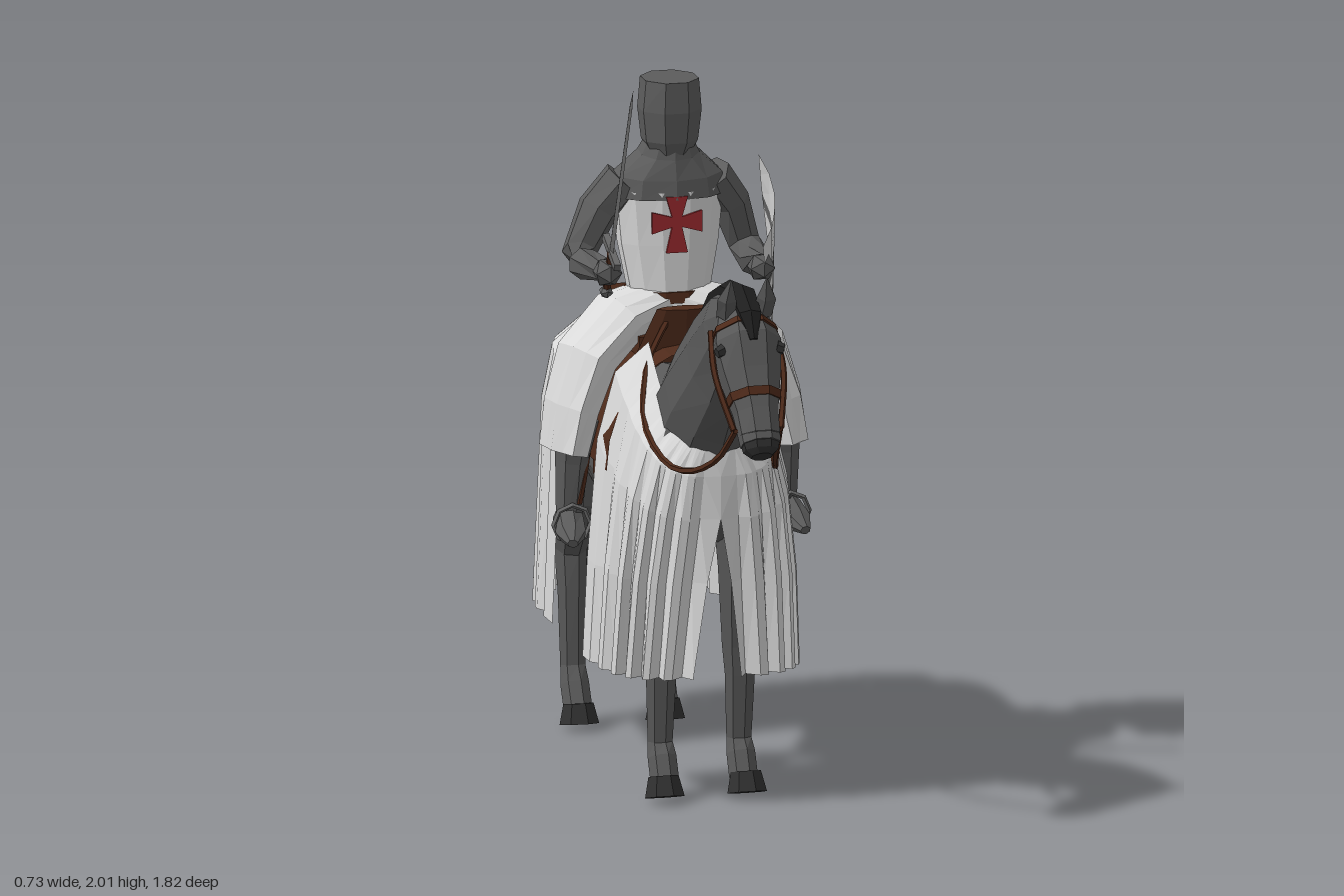
import * as THREE from 'three';

const mat = (name, color, side = THREE.FrontSide) => {
  const m = new THREE.MeshStandardMaterial({ color, side, flatShading: true });
  m.name = name;
  return m;
};

export function createModel() {
  const root = new THREE.Group();
  root.name = 'mountedKnight';
  const M = {
    coat: mat('horseCoat', 0x585858),
    cloth: mat('whiteCloth', 0xdadada, THREE.DoubleSide),
    hair: mat('blackHair', 0x1e1e1e),
    leather: mat('leather', 0x4e2a1a, THREE.DoubleSide),
    mail: mat('mail', 0x5c5c5c),
    steel: mat('steel', 0x666666, THREE.DoubleSide),
    hoof: mat('hoof', 0x303030),
    red: mat('redCross', 0x9a2a2e),
  };
  const add = (name, geo, m, pos = [0, 0, 0], rot = [0, 0, 0]) => {
    const mesh = new THREE.Mesh(geo, m);
    mesh.name = name;
    mesh.position.set(...pos);
    mesh.rotation.set(...rot);
    root.add(mesh);
    return mesh;
  };
  const build = (pos, idx) => {
    const g = new THREE.BufferGeometry();
    g.setAttribute('position', new THREE.Float32BufferAttribute(pos, 3));
    g.setIndex(idx);
    g.computeVertexNormals();
    return g;
  };

  // Elliptical rings along a path; section = [x, y, z, radius along ref, other radius]
  const X = new THREE.Vector3(1, 0, 0), Z = new THREE.Vector3(0, 0, 1);
  const loft = (name, secs, m, n = 8, ref = X, ripple = 0) => {
    const c = secs.map(s => new THREE.Vector3(s[0], s[1], s[2]));
    const pos = [], idx = [], last = secs.length - 1;
    secs.forEach((s, i) => {
      const t = c[Math.min(i + 1, last)].clone().sub(c[Math.max(i - 1, 0)]).normalize();
      const u = ref.clone().addScaledVector(t, -ref.dot(t)).normalize();
      const v = t.clone().cross(u);
      for (let j = 0; j < n; j++) {
        const q = (j + 0.5) / n * Math.PI * 2, k = 1 + (j % 2 ? -1 : 1) * ripple * i / last;
        const p = c[i].clone().addScaledVector(u, s[3] * Math.cos(q) * k).addScaledVector(v, s[4] * Math.sin(q) * k);
        pos.push(p.x, p.y, p.z);
        if (i < last) {
          const a = i * n + j, b = i * n + (j + 1) % n;
          idx.push(a, b, b + n, a, b + n, a + n);
        }
      }
    });
    for (let j = 1; j < n - 1; j++) idx.push(0, j + 1, j, last * n, last * n + j, last * n + j + 1);
    return add(name, build(pos, idx), m);
  };
  // Same path on either side of the model
  const pair = (name, secs, m, n, ref, ripple) => [1, -1].forEach(s =>
    loft((s > 0 ? 'left' : 'right') + name, secs.map(([x, ...r]) => [s * x, ...r]), m, n, ref, ripple));

  // Horse body, neck and head
  loft('horseBody', [[0, .95, -.75, .08, .1], [0, .95, -.68, .17, .19], [0, .93, -.5, .21, .235], [0, .9, -.2, .222, .265],
    [0, .89, 0, .215, .26], [0, .93, .2, .2, .25], [0, .95, .35, .15, .19], [0, .95, .41, .08, .11]], M.coat, 12);
  loft('horseNeck', [[0, 1, .22, .15, .18], [0, 1.13, .34, .13, .17], [0, 1.25, .46, .1, .16],
    [0, 1.35, .58, .085, .13], [0, 1.39, .66, .07, .1]], M.coat, 10);
  const head = [[0, 1.41, .64, .07, .09], [0, 1.34, .7, .098, .112], [0, 1.27, .755, .085, .083],
    [0, 1.18, .815, .062, .066], [0, 1.105, .865, .056, .055]];
  loft('horseHead', head, M.coat, 8);
  loft('muzzle', [[0, 1.13, .85, .058, .058], [0, 1.09, .87, .05, .045], [0, 1.075, .88, .03, .03]], M.hoof, 8);
  pair('Ear', [[.05, 1.43, .69, .028, .025], [.055, 1.48, .72, .028, .022], [.05, 1.535, .74, .003, .003]], M.coat, 5);
  pair('Eye', [[.075, 1.345, .75, .018, .02], [.094, 1.34, .755, .014, .014]], M.hoof, 6, Z);
  loft('mane', [[0, 1.23, .17, .015, .015], [0, 1.32, .29, .026, .03], [0, 1.41, .41, .03, .03], [0, 1.46, .54, .035, .03],
    [0, 1.475, .66, .04, .03], [0, 1.44, .75, .035, .02], [0, 1.38, .79, .012, .01]], M.hair, 6);
  loft('tail', [[0, 1.1, -.71, .045, .03], [0, 1.08, -.79, .06, .04], [0, .93, -.845, .062, .05], [0, .62, -.865, .06, .055],
    [0, .4, -.87, .06, .05], [0, .3, -.87, .045, .04]], M.hair, 8);

  // Legs and hooves
  pair('ForeLeg', [[.11, .9, .23, .09, .11], [.11, .62, .23, .065, .065], [.11, .4, .215, .05, .045], [.11, .32, .215, .042, .038],
    [.11, .14, .205, .035, .03], [.11, .1, .225, .04, .04], [.11, .04, .255, .04, .04]], M.coat, 7);
  pair('HindLeg', [[.12, .95, -.58, .09, .15], [.12, .65, -.64, .07, .1], [.12, .47, -.73, .045, .06], [.12, .36, -.71, .04, .042],
    [.12, .15, -.7, .035, .03], [.12, .1, -.68, .04, .04], [.12, .04, -.645, .04, .04]], M.coat, 7);
  pair('ForeHoof', [[.115, .055, .26, .042, .042], [.115, 0, .275, .055, .055]], M.hoof, 7);
  pair('HindHoof', [[.12, .055, -.64, .042, .042], [.12, 0, -.63, .055, .055]], M.hoof, 7);

  // Horse cloth, one half at a time; row = [y at side, y at end, half width, z at side, z at end, slit angle, fold depth]
  const drape = (name, rows, s) => {
    const n = 18, pos = [], idx = [];
    rows.forEach(([ys, ye, w, zs, ze, slit, fold], i) => {
      for (let j = 0; j <= n; j++) {
        const q = j / n * (Math.PI / 2 - slit), sn = Math.sin(q) ** 0.6;
        const cs = Math.max(0, Math.cos(q)) ** 0.6, k = 1 + fold * Math.sin(j * 2.1 + 0.5);
        pos.push(s * w * cs * k, ys + (ye - ys) * sn, zs + (ze - zs) * sn * (j < n / 3 ? 1 : k));
        if (i && j) {
          const a = i * (n + 1) + j, b = a - n - 1;
          idx.push(a, a - 1, b - 1, a, b - 1, b);
        }
      }
    });
    add((s > 0 ? 'left' : 'right') + name, build(pos, idx), M.cloth);
  };
  for (const s of [1, -1]) {
    drape('FrontHorseCloth', [[1.23, .99, .12, .12, .43, 0, 0], [1.14, .92, .2, .07, .435, 0, .01], [.95, .8, .24, .04, .43, 0, .03],
      [.62, .62, .265, .04, .41, .03, .05], [.35, .35, .275, .04, .385, .09, .07]], s);
    drape('RearHorseCloth', [[1.18, 1.19, .01, -.35, -.5, 0, 0], [1.15, 1.165, .13, -.35, -.64, 0, 0], [1.04, 1.07, .215, -.35, -.76, 0, .01],
      [.9, .92, .24, -.35, -.79, .05, .02], [.65, .65, .25, -.35, -.79, .14, .04], [.35, .35, .26, -.35, -.795, .2, .06]], s);
  }

  // Saddle, girth and bridle
  const pad = new THREE.CylinderGeometry(1, 1, .55, 12, 2, true, Math.PI / 2, Math.PI);
  pad.rotateX(Math.PI / 2).scale(.245, .32, 1);
  pad.computeBoundingBox();
  if (pad.boundingBox.max.y < .1) pad.rotateZ(Math.PI);
  add('saddlePad', pad, M.leather, [0, .885, -.125]);
  add('pommel', new THREE.CylinderGeometry(.08, .14, .15, 8).scale(1, 1, .2), M.leather, [0, 1.23, .04], [.2, 0, 0]);
  add('cantle', new THREE.CylinderGeometry(.12, .16, .15, 8).scale(1, 1, .2), M.leather, [0, 1.22, -.3], [-.25, 0, 0]);
  add('seat', new THREE.BoxGeometry(.24, .06, .3), M.leather, [0, 1.19, -.13]);
  loft('girth', [[0, .895, -.09, .228, .272], [0, .89, 0, .224, .27]], M.leather, 12);
  const band = (name, i, f, w) => {
    const at = t => head[i].map((v, k) => (v + (head[i + 1][k] - v) * t) * (k > 2 ? 1.06 : 1));
    loft(name, [at(f), at(f + w)], M.leather, 8);
  };
  band('noseband', 2, .5, .22);
  band('browband', 0, .5, .2);
  for (const s of [1, -1]) {
    const tube = (name, pts, r) => add((s > 0 ? 'left' : 'right') + name, new THREE.TubeGeometry(
      new THREE.CatmullRomCurve3(pts.map(p => new THREE.Vector3(s * p[0], p[1], p[2]))), 16, r, 5), M.leather);
    tube('Rein', [[.062, 1.14, .835], [.08, 1.04, .72], [.12, .97, .56], [.15, .965, .42], [.17, 1.04, .27], [.13, 1.18, .15], [.05, 1.27, .05]], .009);
    tube('CheekStrap', [[.088, 1.38, .665], [.096, 1.28, .74], [.066, 1.14, .83]], .009);
    tube('StirrupStrap', [[.25, .95, -.03], [.265, .85, -.02], [.285, .76, -.01]], .012);
    add('stirrup', new THREE.TorusGeometry(.052, .007, 4, 8), M.steel, [s * .305, .71, .01]);
  }

  // Rider torso, helmet and belt
  loft('tunic', [[0, 1.2, -.13, .15, .12], [0, 1.32, -.13, .115, .09], [0, 1.45, -.14, .14, .1], [0, 1.6, -.14, .155, .1]], M.cloth, 12);
  loft('mailCollar', [[0, 1.58, -.14, .162, .106], [0, 1.64, -.14, .152, .1], [0, 1.7, -.13, .085, .078], [0, 1.75, -.12, .06, .06]], M.mail, 10);
  loft('helmet', [[0, 1.7, -.12, .06, .065], [0, 1.735, -.12, .078, .08], [0, 1.82, -.12, .088, .09], [0, 1.905, -.12, .08, .088]], M.mail, 8);
  loft('belt', [[0, 1.295, -.13, .13, .102], [0, 1.325, -.13, .122, .098]], M.leather, 12);
  pair('TunicSkirt', [[.03, 1.29, -.13, .1, .06], [.14, 1.25, -.11, .13, .075], [.24, 1.15, -.08, .14, .075],
    [.285, 1.02, -.07, .14, .065], [.31, .9, -.06, .13, .055]], M.cloth, 14, Z, .08);

  // Arms, hands, shins and feet
  loft('rightArm', [[-.12, 1.62, -.15, .075, .06], [-.19, 1.54, -.16, .075, .055], [-.25, 1.43, -.13, .055, .045],
    [-.26, 1.42, -.04, .045, .045], [-.235, 1.43, .09, .032, .032]], M.mail, 7, Z);
  loft('leftArm', [[.12, 1.62, -.15, .075, .06], [.18, 1.54, -.17, .075, .055], [.22, 1.42, -.17, .055, .045],
    [.23, 1.39, -.08, .045, .045], [.22, 1.4, .02, .032, .032]], M.mail, 7, Z);
  add('rightHand', new THREE.IcosahedronGeometry(.042, 0), M.mail, [-.235, 1.43, .12]);
  add('leftHand', new THREE.IcosahedronGeometry(.04, 0), M.mail, [.215, 1.4, .04]);
  pair('Shin', [[.285, 1, -.02, .06, .07], [.295, .88, -.04, .045, .06], [.3, .7, -.05, .035, .04]], M.mail, 7);
  pair('Foot', [[.3, .705, -.1, .03, .03], [.305, .71, -.03, .042, .045], [.315, .69, .04, .042, .03], [.325, .675, .095, .015, .012]], M.mail, 7);

  // Red crosses on chest and back
  const cross = new THREE.Shape();
  for (let i = 0; i < 4; i++) {
    const c = Math.cos(i * Math.PI / 2), s = Math.sin(i * Math.PI / 2), l = i === 3 ? .085 : .07;
    [[.014, -.014], [l, -.03], [l, .03], [.014, .014]].forEach(([x, y], k) =>
      cross[i + k ? 'lineTo' : 'moveTo'](x * c - y * s, x * s + y * c));
  }
  const crossGeo = new THREE.ExtrudeGeometry(cross, { depth: .008, bevelEnabled: false });
  add('chestCross', crossGeo, M.red, [0, 1.52, -.043]);
  add('backCross', crossGeo, M.red, [0, 1.52, -.237], [0, Math.PI, 0]);

  // Sword, leaning forward along its blade
  const sword = new THREE.Group();
  sword.name = 'sword';
  const part = (name, geo, m, y) => {
    const mesh = new THREE.Mesh(geo, m);
    mesh.name = name;
    mesh.position.y = y;
    sword.add(mesh);
  };
  const blade = new THREE.CylinderGeometry(.013, .02, .5, 4).scale(.3, 1, 1);
  part('blade', blade, M.steel, .3);
  part('bladeTip', new THREE.ConeGeometry(.013, .06, 4).scale(.3, 1, 1), M.steel, .58);
  part('crossguard', new THREE.BoxGeometry(.018, .02, .14), M.steel, .055);
  part('grip', new THREE.CylinderGeometry(.011, .011, .13, 6), M.leather, -.01);
  part('swordPommel', new THREE.IcosahedronGeometry(.02, 0), M.steel, -.08);
  sword.position.set(-.232, 1.443, .128);
  sword.rotation.x = .44;
  root.add(sword);

  // Scabbard hanging from the belt
  loft('scabbard', [[.13, 1.3, -.1, .022, .014], [.24, 1.06, -.23, .022, .014], [.325, .77, -.395, .014, .01]], M.leather, 6, Z);

  // Curved shield with a cross of contrasting faces
  const rows = [[0, .17], [.14, .17], [.26, .166], [.335, .16], [.5, .137], [.7, .096], [.87, .047], [1, .002]];
  const pos = [], cells = [[], []];
  rows.forEach(([t, h], i) => {
    const b = Math.min(.023, h * .5), mid = (h + b) / 2;
    [-h, -mid, -b, b, mid, h].forEach((a, j) => {
      const z = -.02 - .35 * t - .83 * a, y = 1.57 - .49 * t + .56 * a;
      pos.push(.2 + .256 * (.12 - z) + .062 * (1.47 - y) + .04 * (1 - (a / .17) ** 2) * (1 - t), y, z);
      if (i && j) {
        const p = i * 6 + j, q = p - 6;
        cells[j === 3 || i === 3 ? 1 : 0].push(p, p - 1, q - 1, p, q - 1, q);
      }
    });
  });
  const shield = build(pos, [...cells[0], ...cells[1]]);
  shield.addGroup(0, cells[0].length, 0);
  shield.addGroup(cells[0].length, cells[1].length, 1);
  add('shield', shield, [M.cloth, M.steel]);

  return root;
}
